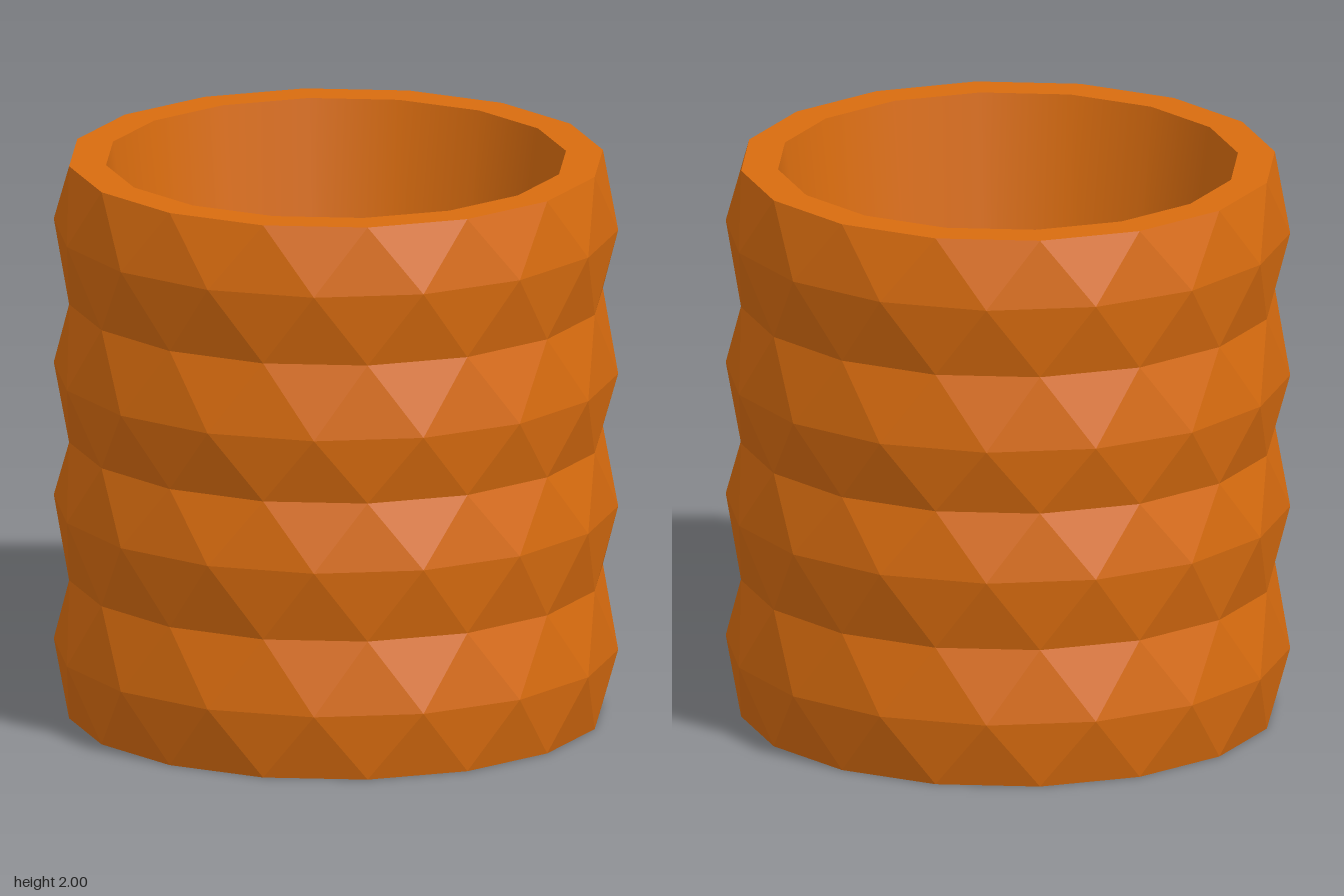
import * as THREE from 'three';

const SIDES = 16;
const RIM_R = 0.94, PEAK_R = 0.99;     // valley and peak radii of the faceted shell
const MOUTH_R = 0.81, FLOOR_R = 0.575; // tapered cavity
const HEIGHT = 2, FLOOR_Y = 0.2;

// Faceted shell: stacked rings, every second one pushed out and turned half a step
function shellGeometry() {
  const levels = [0, 0.24, 0.5, 0.76, 1, 1.24, 1.5, 1.76, HEIGHT];
  const positions = [], index = [];
  levels.forEach((y, k) => {
    const odd = k % 2, r = odd ? PEAK_R : RIM_R;
    for (let j = 0; j < SIDES; j++) {
      const a = ((j + odd / 2) / SIDES) * Math.PI * 2;
      positions.push(r * Math.sin(a), y, r * Math.cos(a));
    }
  });
  for (let k = 0; k < levels.length - 1; k++) {
    for (let j = 0; j < SIDES; j++) {
      const n = (j + 1) % SIDES;
      const l0 = k * SIDES + j, l1 = k * SIDES + n;
      const u0 = l0 + SIDES, u1 = l1 + SIDES;
      if (k % 2 === 0) index.push(l0, l1, u0, u0, l1, u1);
      else index.push(l0, u1, u0, l0, l1, u1);
    }
  }
  const indexed = new THREE.BufferGeometry();
  indexed.setAttribute('position', new THREE.Float32BufferAttribute(positions, 3));
  indexed.setIndex(index);
  const geometry = indexed.toNonIndexed();
  geometry.computeVertexNormals();
  return geometry;
}

export function createModel() {
  const group = new THREE.Group();
  group.name = 'facetedPot';
  const color = 0xd96c0f;
  const smooth = new THREE.MeshStandardMaterial({ color });
  const faceted = new THREE.MeshStandardMaterial({ color, flatShading: true });

  const add = (name, geometry, material, y = 0) => {
    const mesh = new THREE.Mesh(geometry, material);
    mesh.name = name;
    mesh.position.y = y;
    group.add(mesh);
  };

  add('outerShell', shellGeometry(), faceted);

  // Flat rim around the mouth
  add('rim', new THREE.RingGeometry(MOUTH_R, RIM_R, SIDES).rotateX(-Math.PI / 2), smooth, HEIGHT);

  // Inner wall, listed top to bottom so that it faces inward
  const wall = [new THREE.Vector2(MOUTH_R, HEIGHT), new THREE.Vector2(FLOOR_R, FLOOR_Y)];
  add('innerWall', new THREE.LatheGeometry(wall, SIDES), smooth);

  // Cavity floor and underside
  add('innerFloor', new THREE.CircleGeometry(FLOOR_R, SIDES).rotateX(-Math.PI / 2), smooth, FLOOR_Y);
  add('base', new THREE.CircleGeometry(RIM_R, SIDES).rotateX(Math.PI / 2), smooth);

  return group;
}
